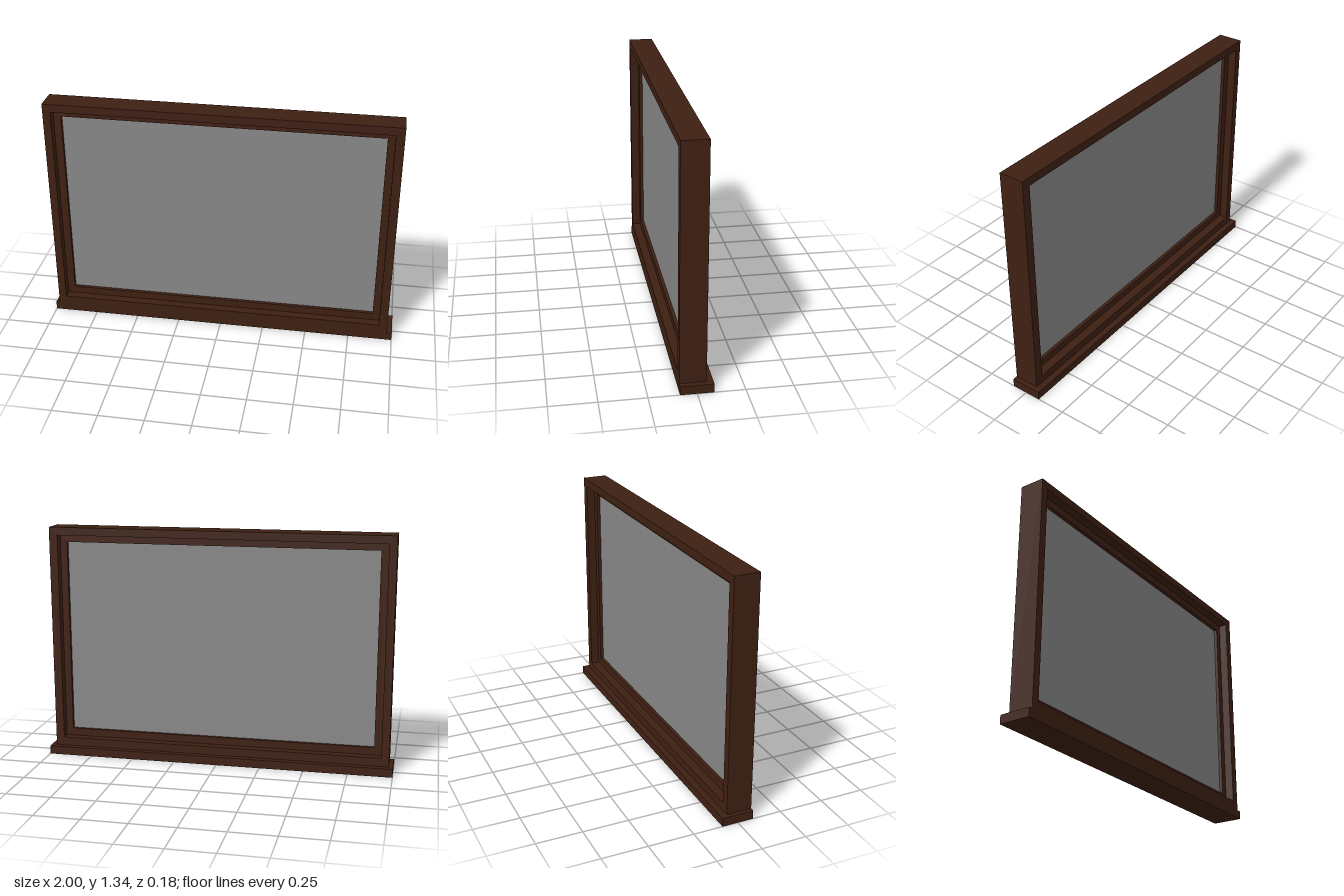
import * as THREE from 'three';

const wood = new THREE.MeshStandardMaterial({ color: 0x3f2013 });
const glass = new THREE.MeshStandardMaterial({ color: 0x888888 });

// Rectangular ring in the xy plane, extruded from zBack to zFront
function ring(name, [x0, y0, x1, y1], [a0, b0, a1, b1], zBack, zFront) {
  const shape = new THREE.Shape();
  shape.moveTo(x0, y0).lineTo(x1, y0).lineTo(x1, y1).lineTo(x0, y1).closePath();
  const hole = new THREE.Path();
  hole.moveTo(a0, b0).lineTo(a0, b1).lineTo(a1, b1).lineTo(a1, b0).closePath();
  shape.holes.push(hole);
  const geometry = new THREE.ExtrudeGeometry(shape, { depth: zFront - zBack, bevelEnabled: false });
  geometry.translate(0, 0, zBack);
  const mesh = new THREE.Mesh(geometry, wood);
  mesh.name = name;
  return mesh;
}

// Box given by its two opposite corners
function box(name, [x0, y0, z0], [x1, y1, z1], material) {
  const mesh = new THREE.Mesh(new THREE.BoxGeometry(x1 - x0, y1 - y0, z1 - z0), material);
  mesh.position.set((x0 + x1) / 2, (y0 + y1) / 2, (z0 + z1) / 2);
  mesh.name = name;
  return mesh;
}

export function createModel() {
  const model = new THREE.Group();
  model.name = 'window';

  const outer = [-0.978, 0.048, 0.971, 1.338];
  const opening = [-0.934, 0.096, 0.923, 1.293];
  const pane = [-0.891, 0.139, 0.883, 1.25];

  model.add(
    // Sill, flush with the frame in front and projecting behind
    box('sill', [-1, 0, -0.088], [1, 0.048, 0.088], wood),
    // Fixed outer frame
    ring('outerFrame', outer, opening, -0.053, 0.088),
    // Thinner sash set in the middle of the frame depth
    ring('sash', opening, pane, -0.004, 0.039),
    // Glass sheet, its edges tucked into the sash
    box('glassPane', [pane[0] - 0.005, pane[1] - 0.005, 0.015], [pane[2] + 0.005, pane[3] + 0.005, 0.02], glass),
  );
  return model;
}
